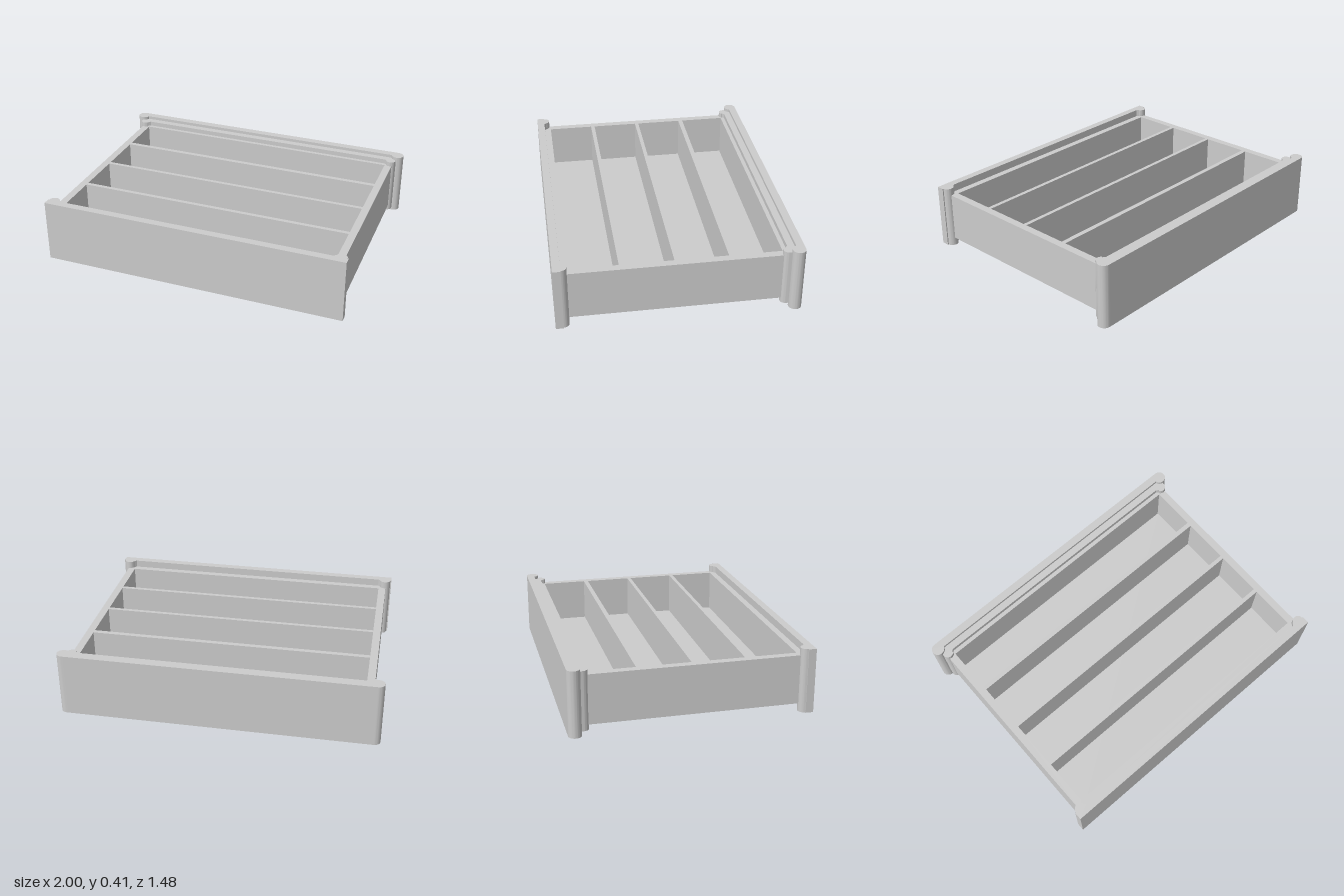
import * as THREE from 'three';
import { toCreasedNormals } from 'three/addons/utils/BufferGeometryUtils.js';

const material = new THREE.MeshStandardMaterial({ color: 0xcccccc });

// Points [x, z] along an arc
function arc(cx, cz, r, from, to, n = 20) {
  return Array.from({ length: n + 1 }, (_, i) => {
    const a = from + (to - from) * i / n;
    return [cx + r * Math.cos(a), cz + r * Math.sin(a)];
  });
}

// Plan outline in [x, z]; shape y is -z so the extrusion can stand upright
const toVectors = pts => pts.map(([x, z]) => new THREE.Vector2(x, -z));
// Anticlockwise, so that walls face outward and compartments face inward
const rectangle = (x, z0, z1) => [[-x, z1], [x, z1], [x, z0], [-x, z0]];

// Mirror a +x half outline into a closed one
const mirrored = half => [...half, ...half.map(([x, z]) => [-x, z]).reverse()];

function upright(name, outline, y0, y1, holes = []) {
  const shape = new THREE.Shape(toVectors(outline));
  for (const h of holes) shape.holes.push(new THREE.Path(toVectors(h)));
  const geo = new THREE.ExtrudeGeometry(shape, { depth: y1 - y0, bevelEnabled: false });
  geo.rotateX(-Math.PI / 2).translate(0, y0, 0);
  const mesh = new THREE.Mesh(toCreasedNormals(geo, 0.5), material);
  mesh.name = name;
  return mesh;
}

export function createModel() {
  const model = new THREE.Group();
  model.name = 'dividedDrawer';

  // Tray walls and dividers around four compartments
  const bays = [[-0.62, -0.328], [-0.298, 0.002], [0.027, 0.327], [0.353, 0.648]];
  const holes = bays.map(([a, b]) => rectangle(0.89, a, b));
  model.add(upright('trayWalls', rectangle(0.938, -0.647, 0.69), 0.08, 0.358, holes));
  model.add(upright('trayFloor', rectangle(0.938, -0.647, 0.69), 0.05, 0.08));

  // Flat front panel with a half-round bead behind each end
  model.add(upright('frontPanel', mirrored([
    [0.885, 0.692], [0.9, 0.677],
    ...arc(0.932, 0.692, 0.036, Math.PI + 0.5, 2 * Math.PI),
    [0.975, 0.692], [0.975, 0.74],
  ]), 0, 0.405));

  // Inner back rail with small rounded ends
  model.add(upright('backRail', mirrored([
    [0.885, -0.646], [0.9, -0.634],
    ...arc(0.924, -0.647, 0.033, 2.5, 0),
    [0.957, -0.692],
  ]), 0.02, 0.388));

  // Back panel with full-round ends
  model.add(upright('backPanel', mirrored([
    ...arc(0.96, -0.7, 0.04, 2.9, -Math.PI / 2, 28),
    [0.95, -0.74],
  ]), 0, 0.408));

  return model;
}
